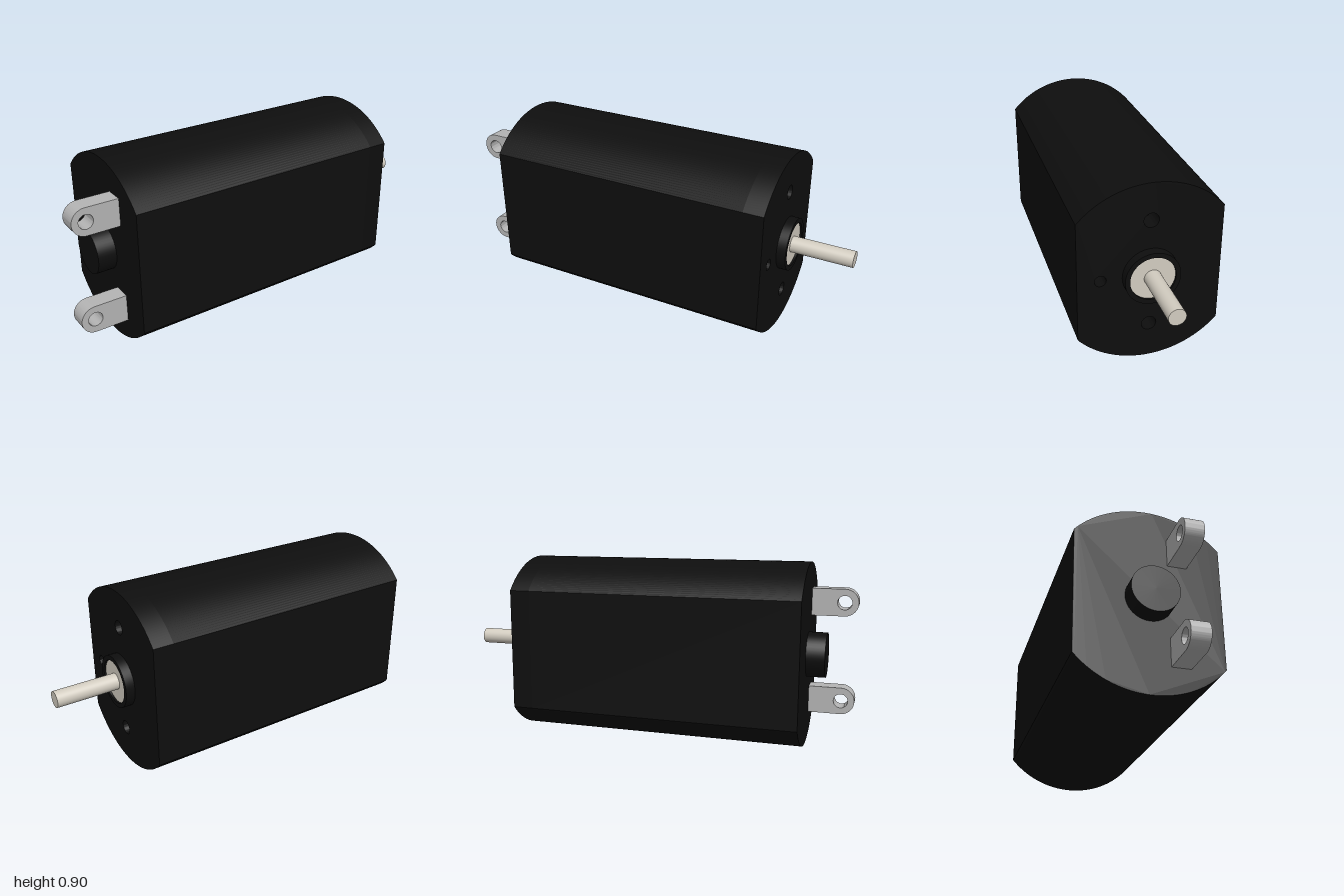
import * as THREE from 'three';
import { toCreasedNormals } from 'three/addons/utils/BufferGeometryUtils.js';

const AXIS_Y = 0.45;
const black = new THREE.MeshStandardMaterial({ color: 0x0e0e0e });
const steel = new THREE.MeshStandardMaterial({ color: 0xd2ccc0 });
const tin = new THREE.MeshStandardMaterial({ color: 0xb4b4b4 });

function addMesh(group, name, geometry, material) {
  const mesh = new THREE.Mesh(geometry, material);
  mesh.name = name;
  group.add(mesh);
  return mesh;
}

function circleHole(x, y, r) {
  return new THREE.Path().absarc(x, y, r, 0, Math.PI * 2, true);
}

function extrude(shape, depth) {
  const geo = new THREE.ExtrudeGeometry(shape, { depth, bevelEnabled: false, curveSegments: 32 });
  return toCreasedNormals(geo, 0.5);
}

// Extrudes a section (shape x = -z, shape y = height from the axis) from x0 to x1
function alongX(shape, x0, x1) {
  return extrude(shape, x1 - x0).rotateY(Math.PI / 2).translate(x0, AXIS_Y, 0);
}

// Cylinder on the motor axis from x0 to x1
function rod(r, x0, x1) {
  return new THREE.CylinderGeometry(r, r, x1 - x0, 48)
    .rotateZ(-Math.PI / 2)
    .translate((x0 + x1) / 2, AXIS_Y, 0);
}

// Circle with its two sides cut flat
function canSection() {
  const r = 0.45;
  const a = Math.acos(0.337 / r);
  const s = new THREE.Shape();
  s.absarc(0, 0, r, a, Math.PI - a, false);
  s.absarc(0, 0, r, Math.PI + a, Math.PI * 2 - a, false);
  s.closePath();
  return s;
}

export function createModel() {
  const group = new THREE.Group();
  group.name = 'electricMotor';

  // Can, with a front plate holding the blind mounting holes
  addMesh(group, 'can', alongX(canSection(), -0.775, 0.56), black);
  const plate = canSection();
  plate.holes.push(
    circleHole(0, 0.27, 0.035),
    circleHole(0, -0.27, 0.035),
    circleHole(-0.23, 0, 0.027)
  );
  addMesh(group, 'frontPlate', alongX(plate, 0.56, 0.66), black);

  // Front collar around the bearing
  const ring = new THREE.Shape().absarc(0, 0, 0.13, 0, Math.PI * 2, false);
  ring.holes.push(circleHole(0, 0, 0.107));
  addMesh(group, 'collar', alongX(ring, 0.66, 0.705), black);
  addMesh(group, 'bearing', rod(0.107, 0.65, 0.695), steel);
  addMesh(group, 'shaft', rod(0.04, 0.69, 1), steel);

  // Rear bearing boss
  addMesh(group, 'rearBoss', rod(0.11, -0.865, -0.77), black);

  // Pair of terminal tabs with rounded, drilled ends
  const r = 0.067;
  for (const side of [1, -1]) {
    const tab = new THREE.Shape();
    tab.moveTo(-0.77, -r);
    tab.lineTo(-0.77, r);
    tab.lineTo(-0.933, r);
    tab.absarc(-0.933, 0, r, Math.PI / 2, Math.PI * 1.5, false);
    tab.closePath();
    tab.holes.push(circleHole(-0.933, 0, 0.035));
    const mesh = addMesh(group, side > 0 ? 'upperTerminal' : 'lowerTerminal', extrude(tab, 0.09), tin);
    mesh.position.set(0, AXIS_Y + side * 0.247, 0.088);
  }

  return group;
}
